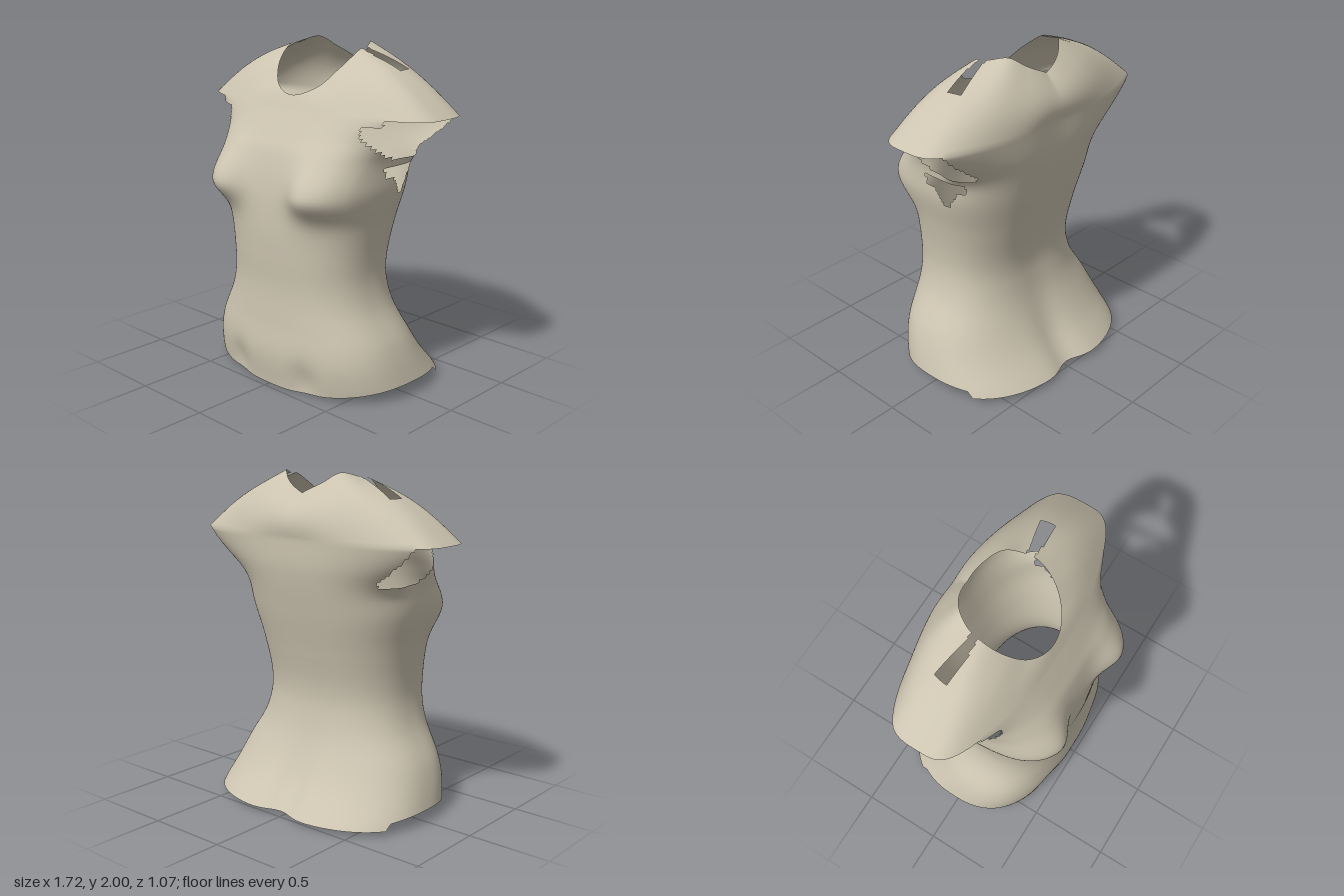
import * as THREE from 'three';

const COLS = 192, BODY_ROWS = 80, YOKE_ROWS = 20, TOP = 1.63;

// Smooth interpolation through [key, value] pairs
function profile(keys) {
  const slope = i => {
    const a = keys[Math.max(0, i - 1)], b = keys[Math.min(keys.length - 1, i + 1)];
    return (b[1] - a[1]) / (b[0] - a[0]);
  };
  return t => {
    let i = 0;
    while (i < keys.length - 2 && t > keys[i + 1][0]) i++;
    const [k0, v0] = keys[i], [k1, v1] = keys[i + 1], h = k1 - k0;
    const s = Math.min(1, Math.max(0, (t - k0) / h)), s2 = s * s, s3 = s2 * s;
    return v0 * (2 * s3 - 3 * s2 + 1) + v1 * (3 * s2 - 2 * s3)
      + h * slope(i) * (s3 - 2 * s2 + s) + h * slope(i + 1) * (s3 - s2);
  };
}

const halfWidth = profile([[0, 0.72], [0.08, 0.71], [0.3, 0.64], [0.5, 0.53], [0.65, 0.49], [0.8, 0.49],
  [1, 0.52], [1.2, 0.565], [1.38, 0.575], [1.5, 0.61], [TOP, 0.64]]);
const frontZ = profile([[0, 0.46], [0.2, 0.485], [0.4, 0.47], [0.6, 0.46], [0.8, 0.47], [1, 0.475],
  [1.2, 0.46], [1.4, 0.415], [1.5, 0.366], [TOP, 0.297]]);
const backZ = profile([[0, -0.575], [0.2, -0.4], [0.4, -0.29], [0.6, -0.24], [0.75, -0.24], [0.95, -0.28],
  [1.2, -0.34], [1.45, -0.39], [TOP, -0.4]]);
// Neckline height from centre front (0) to centre back (1)
const neckY = profile([[-0.2, 1.765], [0, 1.71], [0.2, 1.765], [0.35, 1.87], [0.5, 1.96], [0.6, 1.975],
  [0.73, 1.995], [0.85, 1.94], [1, 1.88]]);

const bell = (d, r, e = 2) => Math.exp(-(Math.abs(d / r) ** e));
const power = (v, e) => Math.sign(v) * Math.abs(v) ** e;
const { smoothstep, lerp } = THREE.MathUtils;

// Torso surface: rounded cross-sections with sleeve flare, bust, spine groove and hem folds
function bodyPoint(v, a) {
  const c = Math.cos(a);
  const hem = c > -0.45 ? 0.08 * (1 - c * c) : 0.03;
  const y = v * TOP + hem * (1 - v) ** 6;
  const s = power(Math.sin(a), 0.82);
  const q = power(c, 0.82 * lerp(1, 0.65, smoothstep(y, 1.25, TOP)));
  const flare = lerp(
    smoothstep(y, 1.5, TOP + 0.02) * Math.abs(s) ** 6,
    smoothstep(y, 1.3, TOP + 0.02) * Math.abs(s) ** 3,
    smoothstep(-c, 0, 0.3));
  const x = s * (halfWidth(y) + 0.23 * flare);
  const f = frontZ(y), b = backZ(y);
  let z = (f + b) / 2 + q * (f - b) / 2;
  const ax = Math.abs(x);
  if (q > 0) {
    const fade = smoothstep(q, 0, 0.5);
    z += fade * 0.14 * bell(ax - 0.4, 0.2, 2.6) * bell(y - 1.2, y > 1.2 ? 0.2 : 0.13);
    z -= fade * 0.025 * bell(ax - 0.27, 0.09) * bell(y - 0.08, 0.12);
  } else {
    z += 0.018 * bell(x, 0.18) + 0.045 * bell(y, 0.3) * bell(x, 0.11);
  }
  return new THREE.Vector3(x, y, z);
}

// Shoulder surface: from the sleeve edge up to the neckline
function yokePoint(t, a) {
  const p = bodyPoint(1, a);
  const round = Math.acos(Math.cos(a)) / Math.PI;
  const neck = new THREE.Vector3(0.27 * Math.sin(a), neckY(round), -0.01 + 0.27 * Math.cos(a));
  const bulge = 0.05 * Math.sin(Math.PI * t);
  p.lerp(neck, t);
  p.y += bulge * Math.sin(a) ** 2;
  p.z += bulge * Math.min(0, Math.cos(a));
  return p;
}

// Openings: armholes, a torn patch under the left arm, and shoulder slits
function isOpen({ x, y, z }, inYoke) {
  const ax = Math.abs(x);
  if (inYoke) return ax > 0.26 && ax < 0.52 && z < -0.04 && z > -0.08 - 0.24 * (ax - 0.27);
  if (ax < 0.52) return false;
  const armhole = z < 0.27 && z > -0.26 && y > 1.39 + 2 * Math.max(0, z) ** 2 && (z < 0.2 || y < 1.59);
  const low = 1.17 + 1.5 * Math.abs(z + 0.05);
  const tear = x > 0 && z > -0.17 && z < 0.1 && y > Math.min(low, 1.28) && y < 1.34;
  return armhole || tear;
}

function shirtGeometry() {
  const points = [], index = [];
  const rows = BODY_ROWS + YOKE_ROWS;
  for (let i = 0; i <= rows; i++) {
    for (let j = 0; j < COLS; j++) {
      const a = (j / COLS) * Math.PI * 2;
      points.push(i <= BODY_ROWS ? bodyPoint(i / BODY_ROWS, a) : yokePoint((i - BODY_ROWS) / YOKE_ROWS, a));
    }
  }
  for (let i = 0; i < rows; i++) {
    for (let j = 0; j < COLS; j++) {
      const k = (j + 1) % COLS;
      const a = i * COLS + j, b = i * COLS + k, c = a + COLS, d = b + COLS;
      const centre = points[a].clone().add(points[b]).add(points[c]).add(points[d]).multiplyScalar(0.25);
      if (!isOpen(centre, i >= BODY_ROWS)) index.push(a, b, d, a, d, c);
    }
  }
  const geometry = new THREE.BufferGeometry().setFromPoints(points);
  geometry.setIndex(index);
  geometry.computeVertexNormals();
  return geometry;
}

export function createModel() {
  const group = new THREE.Group();
  group.name = 'shirt';
  const cloth = new THREE.MeshStandardMaterial({ color: 0xccc4b0, side: THREE.DoubleSide });
  cloth.name = 'beige cloth';
  const shell = new THREE.Mesh(shirtGeometry(), cloth);
  shell.name = 'shirtShell';
  group.add(shell);
  return group;
}
